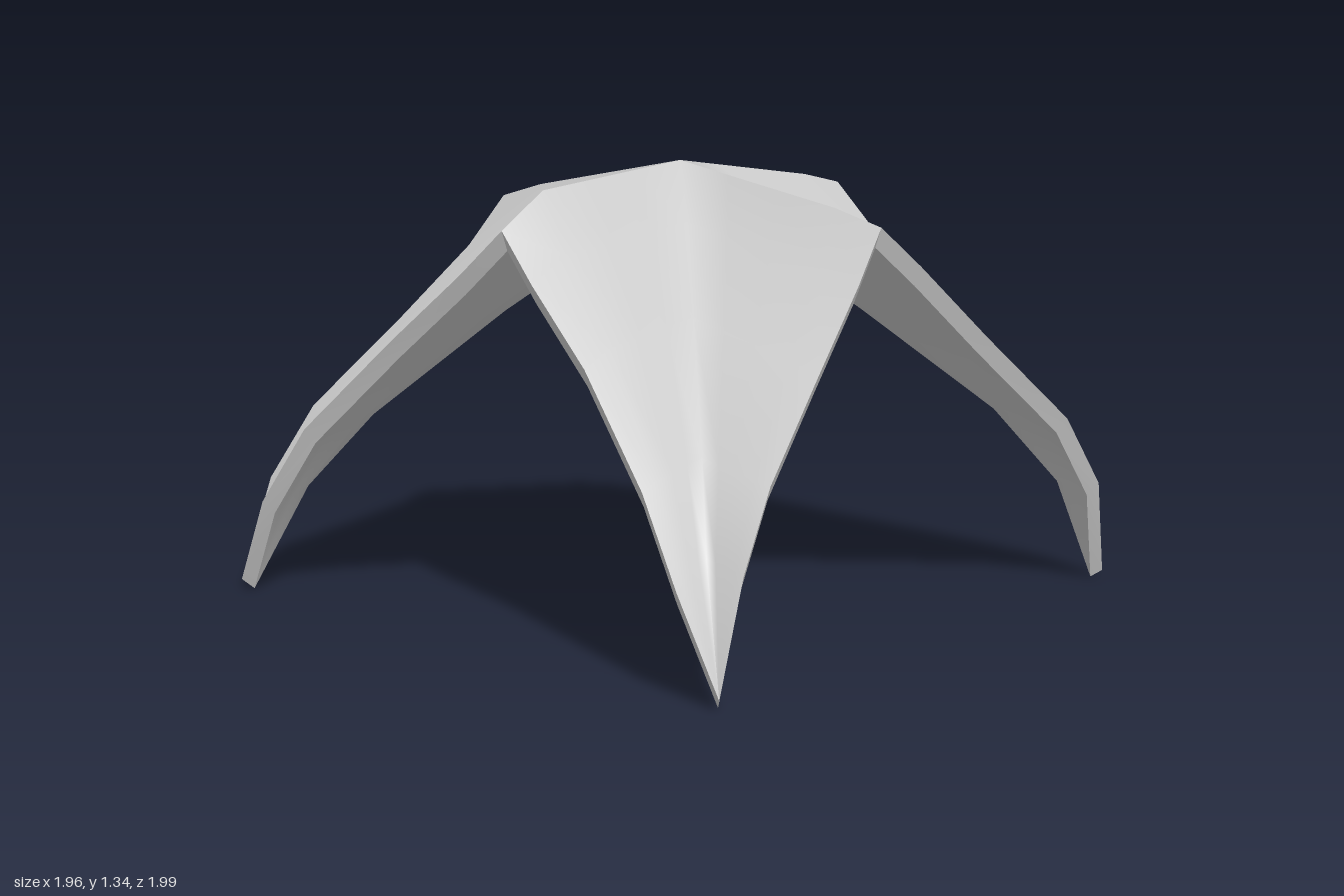
import * as THREE from 'three';

const CENTRE = [-0.015, 1.34, 0];

// Edge lines per side of the canopy, from crown to foot.
// sideArch borders the x ridge, frontArch borders the z ridge, groin is the diagonal valley.
const HALVES = {
  left: {
    sign: 1, bulge: 0.01,
    sideArch: [[0.76, 1.225, 0], [0.795, 1.05, 0.15], [0.845, 0.83, 0.4], [0.93, 0.54, 0.71], [0.975, 0.3, 0.86], [0.98, 0.02, 0.92]],
    frontArch: [[-0.015, 1.185, 0.78], [0.14, 1.06, 0.81], [0.4, 0.83, 0.865], [0.72, 0.55, 0.945], [0.86, 0.33, 0.975], [0.98, 0.02, 0.92]],
    groin: [CENTRE, [0.15, 1.17, 0.15], [0.4, 0.93, 0.4], [0.71, 0.6, 0.71], [0.86, 0.36, 0.86], [0.98, 0.02, 0.92]],
  },
  right: {
    sign: -1, bulge: 0.07,
    sideArch: [[-0.775, 1.18, 0], [-0.805, 1.04, 0.15], [-0.85, 0.83, 0.4], [-0.94, 0.54, 0.7], [-0.98, 0.3, 0.86], [-0.963, 0.03, 0.995]],
    frontArch: [[-0.015, 1.185, 0.78], [-0.15, 1.03, 0.805], [-0.4, 0.81, 0.865], [-0.7, 0.555, 0.945], [-0.85, 0.34, 0.98], [-0.963, 0.03, 0.995]],
    groin: [CENTRE, [-0.15, 1.17, 0.15], [-0.4, 0.93, 0.4], [-0.7, 0.6, 0.7], [-0.85, 0.37, 0.85], [-0.963, 0.03, 0.995]],
  },
};

const COLUMNS = [-1, -0.78, -0.5, -0.25, 0, 0.25, 0.5, 0.78, 1];
const ROWS = 6;
const lerp = (a, b, t) => a.map((v, i) => v + (b[i] - v) * t);

// Inner skin: pushed down and towards the middle
const inset = ([x, y, z]) => [x * 0.972, Math.max(0, y - 0.03 - 0.025 * y), z * 0.972];

// Smooth surface over a grid of points; zero-area triangles are skipped
function gridGeometry(grid, flip) {
  const w = grid[0].length;
  const points = grid.flat();
  const index = [];
  const same = (a, b) => points[a].every((v, i) => Math.abs(v - points[b][i]) < 1e-6);
  const add = (a, b, c) => {
    if (same(a, b) || same(b, c) || same(a, c)) return;
    index.push(...(flip ? [a, c, b] : [a, b, c]));
  };
  for (let i = 0; i < grid.length - 1; i++) {
    for (let j = 0; j < w - 1; j++) {
      const a = i * w + j, b = a + w;
      add(a, b, a + 1);
      add(b, b + 1, a + 1);
    }
  }
  const geo = new THREE.BufferGeometry();
  geo.setAttribute('position', new THREE.Float32BufferAttribute(points.flat(), 3));
  geo.setIndex(index);
  geo.computeVertexNormals();
  return geo;
}

function createPetal(half, zSign, material) {
  const flip = half.sign * zSign < 0;
  const outer = [];
  for (let i = 0; i < ROWS; i++) {
    outer.push(COLUMNS.map((s) => {
      const edge = s > 0 ? half.sideArch[i] : half.frontArch[i];
      const p = lerp(half.groin[i], edge, Math.abs(s));
      // the ridge swells a little before it drops to the rim
      const swell = s > 0 ? half.bulge : 0.012;
      if (Math.abs(s) < 1) p[1] += swell * (Math.abs(s) / 0.78) * (1 - i / (ROWS - 1)) ** 2;
      return [p[0], p[1], p[2] * zSign];
    }));
  }
  const inner = outer.map((row) => row.map(inset));
  const last = COLUMNS.length - 1;
  const rim = (j) => outer.map((row, i) => [row[j], inner[i][j]]);

  const petal = new THREE.Group();
  const part = (name, geo) => {
    const mesh = new THREE.Mesh(geo, material);
    mesh.name = name;
    petal.add(mesh);
  };
  part('outerSkin', gridGeometry(outer, flip));
  part('innerSkin', gridGeometry(inner, !flip));
  part('sideRim', gridGeometry(rim(last), flip));
  part('frontRim', gridGeometry(rim(0), !flip));
  return petal;
}

export function createModel() {
  const model = new THREE.Group();
  model.name = 'canopy';
  const material = new THREE.MeshStandardMaterial({ color: 0xcccccc });
  for (const [side, half] of Object.entries(HALVES)) {
    for (const zSign of [1, -1]) {
      const petal = createPetal(half, zSign, material);
      petal.name = `${side}${zSign > 0 ? 'Front' : 'Back'}Petal`;
      model.add(petal);
    }
  }
  return model;
}
